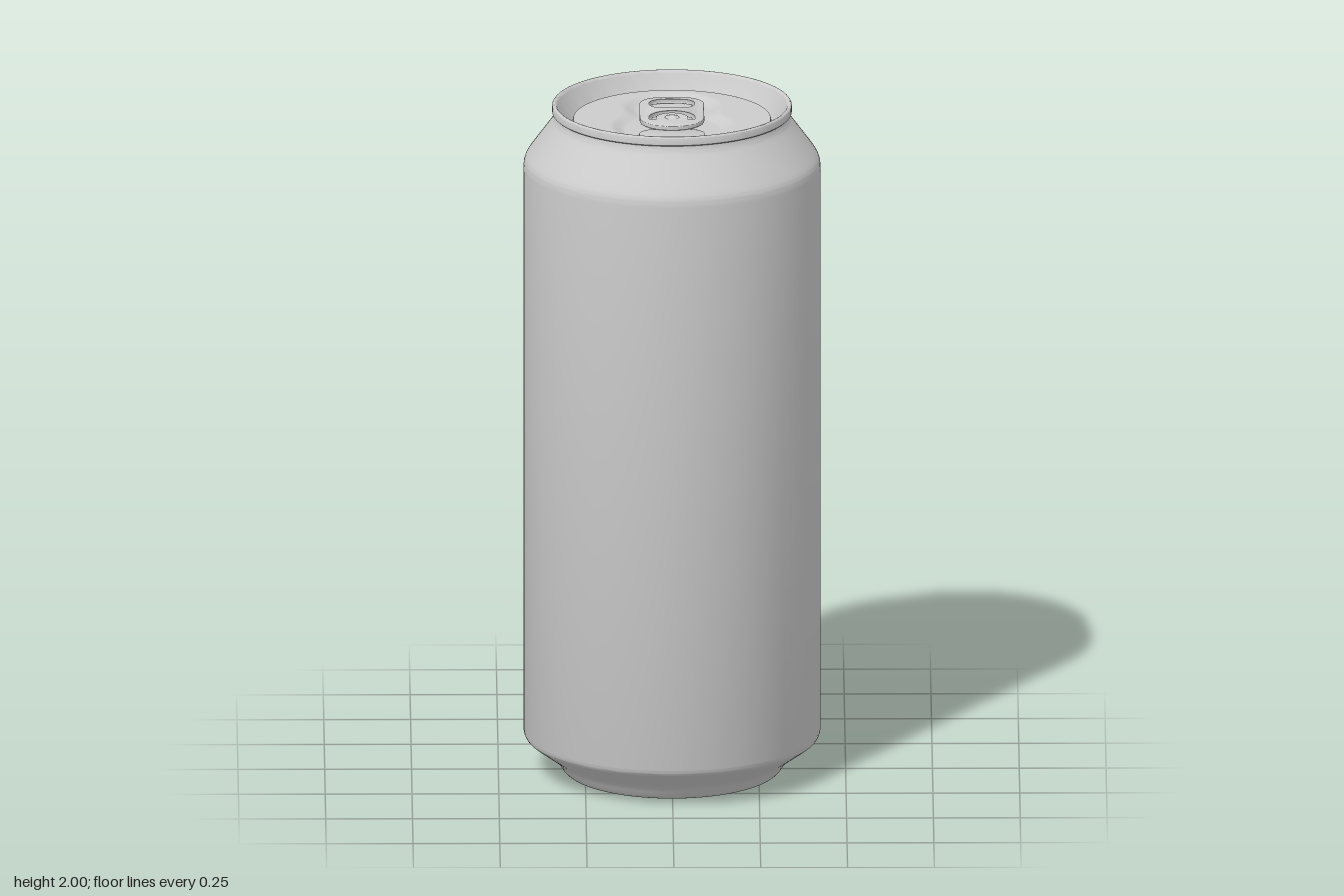
import * as THREE from 'three';
import { mergeVertices, toCreasedNormals } from 'three/addons/utils/BufferGeometryUtils.js';

const material = new THREE.MeshStandardMaterial({ color: 0xcccccc, side: THREE.DoubleSide });
const SEGMENTS = 96;
const PANEL_Y = 1.955, RECESS = 0.015;

const points = list => list.map(([x, y]) => new THREE.Vector2(x, y));
const smooth = (list, n) => new THREE.SplineCurve(points(list)).getPoints(n);

function addMesh(parent, name, geometry) {
  const mesh = new THREE.Mesh(geometry, material);
  mesh.name = name;
  parent.add(mesh);
  return mesh;
}

const lathe = profile => toCreasedNormals(new THREE.LatheGeometry(profile, SEGMENTS), 0.6);

// Smooth union of two circles: the waisted outline of the lid recess
function recessDistance(x, z) {
  const a = Math.hypot(x, z + 0.125) - 0.14;
  const b = Math.hypot(x, z - 0.07) - 0.175;
  const k = 0.05, h = Math.max(k - Math.abs(a - b), 0) / k;
  return Math.min(a, b) - h * h * k * 0.25;
}

// Lid panel: fine disc pressed down inside the recess outline
function panelGeometry() {
  const rings = 56, profile = [];
  for (let i = 0; i <= rings; i++) profile.push(new THREE.Vector2(0.284 * (1 - i / rings), PANEL_Y));
  let g = new THREE.LatheGeometry(profile, 128);
  g.deleteAttribute('uv');
  g.deleteAttribute('normal');
  g = mergeVertices(g);
  const p = g.attributes.position;
  for (let i = 0; i < p.count; i++) {
    const d = recessDistance(p.getX(i), p.getZ(i));
    p.setY(i, PANEL_Y - RECESS * (1 - THREE.MathUtils.smoothstep(d, -0.04, 0.005)));
  }
  g.computeVertexNormals();
  return g;
}

// Rounded rectangle with separate corner radii at its two ends (shape y = -z)
function roundedOutline(target, w, back, front, rBack, rFront) {
  target.moveTo(-w, -front + rFront);
  target.lineTo(-w, -back - rBack);
  target.absarc(-w + rBack, -back - rBack, rBack, Math.PI, Math.PI / 2, true);
  target.absarc(w - rBack, -back - rBack, rBack, Math.PI / 2, 0, true);
  target.absarc(w - rFront, -front + rFront, rFront, 0, -Math.PI / 2, true);
  target.absarc(-w + rFront, -front + rFront, rFront, -Math.PI / 2, -Math.PI, true);
  return target;
}

function flatExtrude(shape, depth, bevel) {
  const g = new THREE.ExtrudeGeometry(shape, {
    depth, curveSegments: 20, bevelEnabled: true, bevelThickness: bevel, bevelSize: bevel,
    bevelOffset: -bevel, bevelSegments: 4,
  });
  g.rotateX(-Math.PI / 2);
  return toCreasedNormals(g, 0.7);
}

export function createModel() {
  const can = new THREE.Group();
  can.name = 'drinkCan';

  // Domed base, foot, straight wall and tapered neck
  addMesh(can, 'body', lathe([
    ...smooth([[0, 0.13], [0.1, 0.121], [0.2, 0.087], [0.265, 0.04], [0.283, 0.012]], 20),
    ...smooth([[0.287, 0.005], [0.297, 0], [0.308, 0.003], [0.318, 0.013]], 8),
    ...smooth([[0.325, 0.025], [0.345, 0.048], [0.408, 0.094], [0.423, 0.108], [0.428, 0.125]], 16),
    ...smooth([[0.428, 1.81], [0.425, 1.832], [0.412, 1.856], [0.358, 1.93], [0.341, 1.955], [0.336, 1.974]], 18),
  ]));

  // Rolled rim, sloping inner wall and groove around the panel
  addMesh(can, 'rim', lathe([
    ...points([[0.334, 1.972], [0.342, 1.972], [0.345, 1.975], [0.345, 1.994]]),
    ...smooth([[0.345, 1.995], [0.342, 1.999], [0.338, 2], [0.334, 1.998]], 8),
    ...points([[0.331, 1.993], [0.326, 1.98], [0.296, 1.938]]),
    ...smooth([[0.295, 1.936], [0.291, 1.931], [0.287, 1.934]], 6),
    ...points([[0.286, 1.95], [0.284, PANEL_Y]]),
  ]));

  const lid = new THREE.Group();
  lid.name = 'lid';
  can.add(lid);
  addMesh(lid, 'panel', panelGeometry());

  // Pour opening, outlined by its score line
  const mouth = roundedOutline(new THREE.Shape(), 0.095, 0.07, 0.19, 0.045, 0.07);
  addMesh(lid, 'mouth', flatExtrude(mouth, 0.002, 0.002)).position.y = PANEL_Y - RECESS - 0.001;

  // Pull tab with a finger hole and an arched cut around the rivet tongue
  const outline = roundedOutline(new THREE.Shape(), 0.093, -0.203, 0.092, 0.06, 0.092);
  outline.holes.push(roundedOutline(new THREE.Path(), 0.069, -0.184, -0.092, 0.042, 0.042));
  const arch = new THREE.Path();
  arch.moveTo(-0.07, -0.022);
  arch.lineTo(-0.07, 0);
  arch.absarc(0, 0, 0.07, Math.PI, 0, true);
  arch.lineTo(0.07, -0.022);
  arch.lineTo(0.041, -0.022);
  arch.lineTo(0.041, 0);
  arch.absarc(0, 0, 0.041, 0, Math.PI, false);
  arch.lineTo(-0.041, -0.022);
  outline.holes.push(arch);
  addMesh(lid, 'pullTab', flatExtrude(outline, 0.006, 0.004)).position.y = PANEL_Y - RECESS + 0.008;

  // Rivet holding the tab
  addMesh(lid, 'rivet', lathe(points([
    [0.022, 1.938], [0.022, 1.957], [0.019, 1.96], [0.012, 1.962], [0, 1.962],
  ])));

  return can;
}
